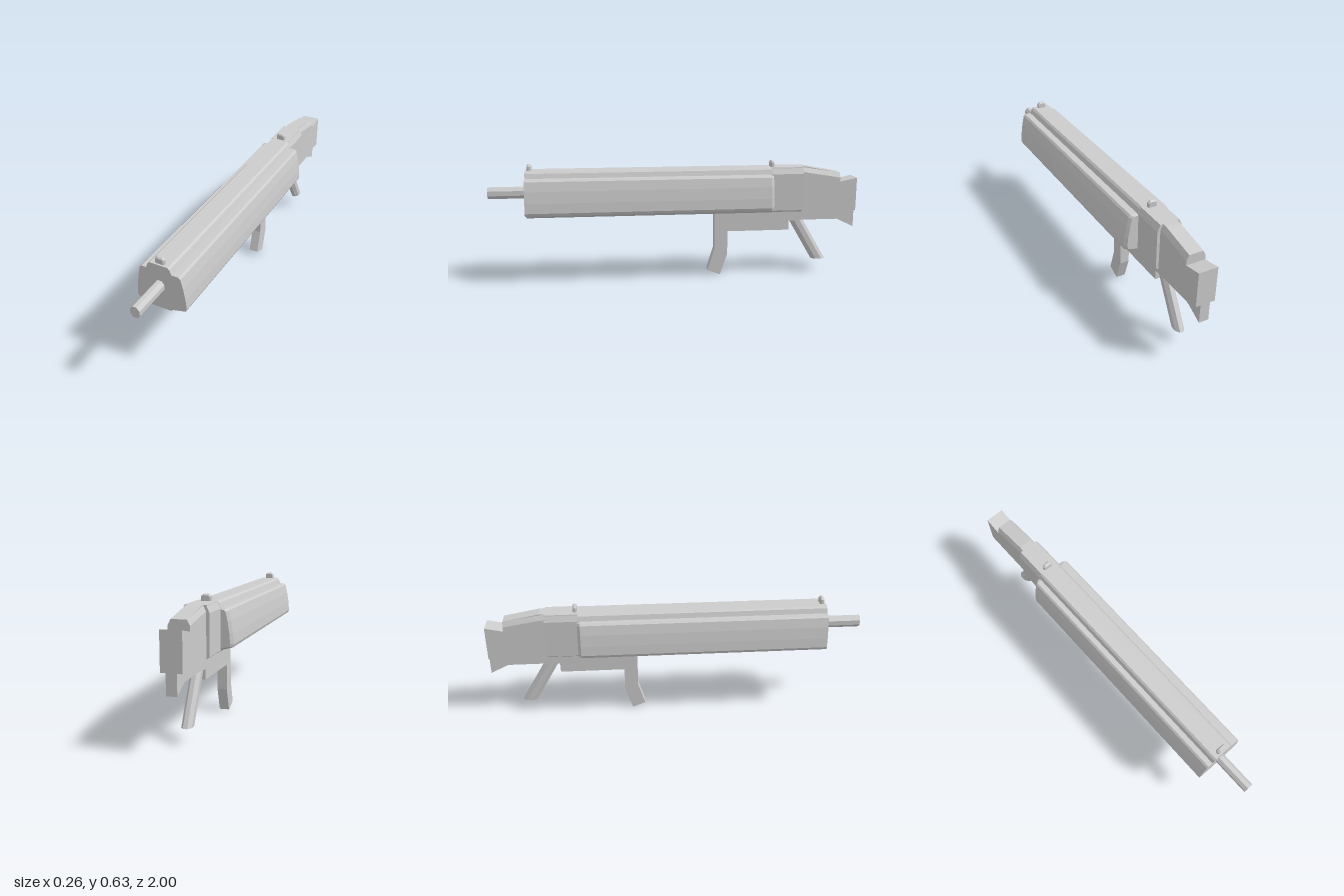
import * as THREE from 'three';

const CX = -0.005; // centre line of everything except the shroud

export function createModel() {
  const model = new THREE.Group();
  const material = new THREE.MeshStandardMaterial({ color: 0xcccccc, flatShading: true });

  function add(name, geometry, x = CX) {
    const mesh = new THREE.Mesh(geometry, material);
    mesh.name = name;
    mesh.position.x = x;
    model.add(mesh);
    return mesh;
  }
  const toShape = (pts) => new THREE.Shape(pts.map(([a, b]) => new THREE.Vector2(a, b)));
  const mirrored = (half) => [...half, ...half.map(([x, y]) => [-x, y]).reverse()];

  // Cross-section (half, from bottom to top) pushed along z
  function alongZ(half, zBack, zFront) {
    const g = new THREE.ExtrudeGeometry(toShape(mirrored(half)), { depth: zFront - zBack, bevelEnabled: false });
    return g.translate(0, 0, zBack);
  }
  // Side profile in (z, y) pushed across x
  function acrossX(profile, width) {
    const g = new THREE.ExtrudeGeometry(toShape(profile), { depth: width, bevelEnabled: false });
    return g.translate(0, 0, -width / 2).rotateY(-Math.PI / 2);
  }
  // Move every vertex by a rule
  function warp(g, rule) {
    const p = g.attributes.position;
    const v = new THREE.Vector3();
    for (let i = 0; i < p.count; i++) {
      rule(v.fromBufferAttribute(p, i));
      p.setXYZ(i, v.x, v.y, v.z);
    }
    g.computeVertexNormals();
    return g;
  }

  // Barrel
  const barrel = new THREE.CylinderGeometry(1, 1, 0.22, 8);
  barrel.rotateY(Math.PI / 8).rotateX(Math.PI / 2).scale(0.0265, 0.0325, 1);
  add('barrel', barrel).position.set(CX, 0.487, 0.89);

  // Central body, running the full length of the shroud
  const core = [[0.052, 0.357], [0.064, 0.368], [0.066, 0.57], [0.057, 0.595], [0.047, 0.605]];
  add('body', alongZ(core, -0.52, 0.8));

  // Wide shroud with a tapered rear lip
  const shroud = [[0.064, 0.368], [0.125, 0.383], [0.131, 0.398], [0.127, 0.45],
    [0.118, 0.51], [0.106, 0.56], [0.097, 0.57]];
  add('shroud', alongZ(shroud, -0.505, 0.8), 0);
  const lip = warp(alongZ(shroud, -0.52, -0.505), (v) => {
    if (v.z < -0.51) {
      v.x *= 0.89;
      v.y = 0.47 + (v.y - 0.47) * 0.94;
    }
  });
  add('shroudLip', lip, 0);

  // Receiver between shroud and stock
  const receiver = [[0.052, 0.359], [0.064, 0.368], [0.066, 0.57], [0.053, 0.6], [0.052, 0.605]];
  add('receiver', alongZ(receiver, -0.69, -0.515));

  // Stock with a notched rear end
  add('stock', acrossX([
    [-0.68, 0.358], [-0.68, 0.575], [-0.71, 0.575], [-0.905, 0.543],
    [-0.905, 0.52], [-1, 0.54], [-1, 0.358],
  ], 0.1));
  // Chamfered stock comb: its upper vertices are pulled inwards
  const comb = acrossX([
    [-0.68, 0.575], [-0.68, 0.605], [-0.715, 0.605], [-0.905, 0.57], [-0.905, 0.543], [-0.71, 0.575],
  ], 0.1);
  add('stockComb', warp(comb, (v) => {
    const ridge = v.z < -0.8 ? 0.56 : 0.59;
    if (v.y > ridge) v.x *= 0.74;
  }));
  add('stockHeel', acrossX([
    [-0.62, 0.37], [-0.62, 0.3], [-0.71, 0.305], [-0.905, 0.305], [-1, 0.26], [-1, 0.37],
  ], 0.05));

  // Lower frame with the bent front grip
  add('frameAndFrontGrip', acrossX([
    [-0.212, 0.37], [-0.212, 0.15], [-0.175, 0.03], [-0.245, 0.003],
    [-0.285, 0.12], [-0.285, 0.25], [-0.63, 0.25], [-0.63, 0.37],
  ], 0.05));

  // Slanted eight-sided rear grip
  const grip = new THREE.CylinderGeometry(1, 1, 0.265, 8);
  grip.rotateY(Math.PI / 8).scale(0.027, 1, 0.041).translate(0, 0.2075, 0);
  add('rearGrip', warp(grip, (v) => { v.z += -0.81 + (v.y - 0.075) * 0.59; }));

  // Front and rear sights, rounded by chamfers
  const sightShape = [[0.025, 0.598], [0.025, 0.628], [0.014, 0.638]];
  for (const [name, z] of [['frontSight', 0.78], ['rearSight', -0.53]]) {
    const sight = new THREE.ExtrudeGeometry(toShape(mirrored(sightShape)), {
      depth: 0.01, bevelEnabled: true, bevelSegments: 1,
      bevelSize: 0.006, bevelOffset: -0.006, bevelThickness: 0.006,
    });
    add(name, sight.translate(0, 0, z - 0.005));
  }

  return model;
}
